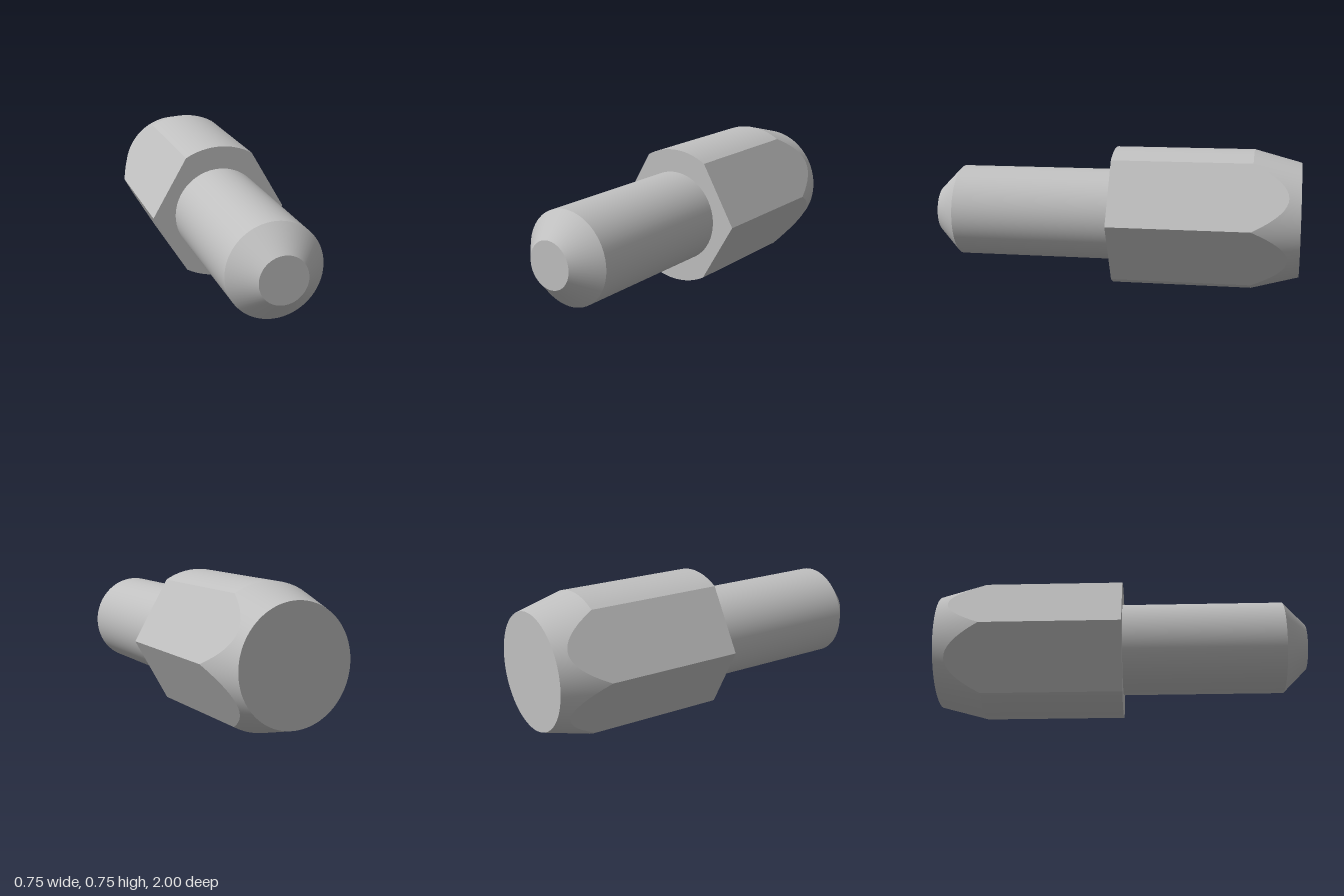
import * as THREE from 'three';

const R = 0.375, SHANK_R = 0.25, TIP_R = 0.125, STEPS = 16;
const SLOPE = Math.tan(Math.PI / 12);
const END_R = R - 0.25 * SLOPE;
const APOTHEM = R * Math.cos(Math.PI / 6);

// Strip of quads between a front row and a back row of points
function strip(front, back, closed) {
  const n = front.length, index = [];
  for (let i = 0; i < (closed ? n : n - 1); i++) {
    const j = (i + 1) % n;
    index.push(i, n + i, j, j, n + i, n + j);
  }
  const geometry = new THREE.BufferGeometry().setFromPoints([...front, ...back]);
  geometry.setIndex(index);
  geometry.computeVertexNormals();
  return geometry;
}

const polar = (r, a, z) => new THREE.Vector3(r * Math.cos(a), r * Math.sin(a), z);

export function createModel() {
  const group = new THREE.Group();
  const steel = new THREE.MeshStandardMaterial({ color: 0xc0c0c0 });
  steel.name = 'steel grey';

  const body = new THREE.Group();
  body.name = 'body';
  body.position.y = R;
  group.add(body);
  const add = (name, geometry) => {
    const mesh = new THREE.Mesh(geometry, steel);
    mesh.name = name;
    body.add(mesh);
    return mesh;
  };

  // Six sides: four flats, with round top and bottom, cut off by the rear cone
  const outline = [], coneFront = [], coneBack = [];
  for (let s = 0; s < 6; s++) {
    const round = s % 3 === 1;
    const front = [], back = [];
    for (let i = 0; i <= STEPS; i++) {
      const a = (s + i / STEPS) * Math.PI / 3;
      const r = round ? R : APOTHEM / Math.cos(a - (s + 0.5) * Math.PI / 3);
      const z = -0.75 - (R - r) / SLOPE;
      front.push(polar(r, a, 0));
      back.push(polar(r, a, z));
      if (i < STEPS) {
        outline.push(new THREE.Vector2(r * Math.cos(a), r * Math.sin(a)));
        coneFront.push(polar(r, a, z));
        coneBack.push(polar(END_R, a, -1));
      }
    }
    add(round ? 'roundSide' : 'flatSide', strip(front, back, false));
  }

  // Rear chamfer and end face
  add('rearChamfer', strip(coneFront, coneBack, true));
  const rear = add('rearFace', new THREE.CircleGeometry(END_R, 6 * STEPS));
  rear.rotation.y = Math.PI;
  rear.position.z = -1;

  // Shoulder around the shank
  const shoulder = new THREE.Shape(outline);
  shoulder.holes.push(new THREE.Path().absarc(0, 0, SHANK_R, 0, Math.PI * 2, true));
  add('shoulder', new THREE.ShapeGeometry(shoulder, 32));

  // Shank, chamfered tip and front face
  const tube = (front, back, length) =>
    new THREE.CylinderGeometry(front, back, length, 64, 1, true).rotateX(Math.PI / 2);
  add('shank', tube(SHANK_R, SHANK_R, 0.875)).position.z = 0.4375;
  add('tipChamfer', tube(TIP_R, SHANK_R, 0.125)).position.z = 0.9375;
  add('tipFace', new THREE.CircleGeometry(TIP_R, 64)).position.z = 1;

  return group;
}
